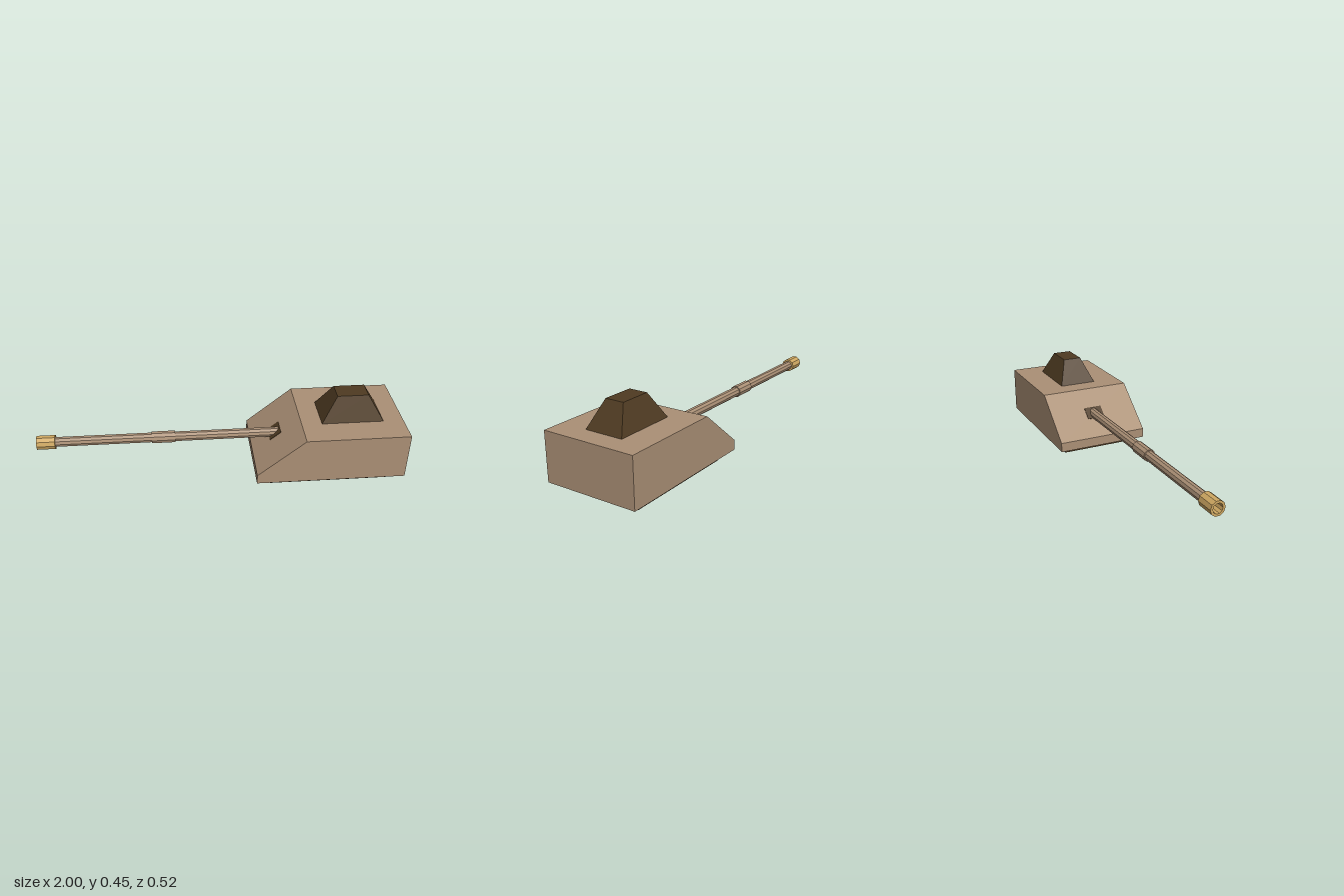
import * as THREE from 'three';

const paint = (color) => new THREE.MeshStandardMaterial({ color, flatShading: true });
const tan = paint(0xab9076);
const brown = paint(0x4f3b22);
const brass = paint(0xcfa862);

function add(parent, name, geometry, material) {
  const mesh = new THREE.Mesh(geometry, material);
  mesh.name = name;
  parent.add(mesh);
  return mesh;
}

// Box from y0 to y1 whose lower and upper rectangles [x0, x1, halfDepth] differ
function frustum(y0, y1, lower, upper) {
  const g = new THREE.BoxGeometry(1, 1, 1);
  const p = g.attributes.position;
  for (let i = 0; i < p.count; i++) {
    const top = p.getY(i) > 0;
    const [x0, x1, d] = top ? upper : lower;
    p.setXYZ(i, p.getX(i) < 0 ? x0 : x1, top ? y1 : y0, p.getZ(i) < 0 ? -d : d);
  }
  g.computeVertexNormals();
  return g;
}

// Closed lathe ring along x from x0 to x1, with a bore
function tube(x0, x1, outer, inner, sides = 10) {
  const profile = [[inner, x0], [outer, x0], [outer, x1], [inner, x1], [inner, x0]]
    .map(([r, x]) => new THREE.Vector2(r, x));
  // Turning the lathe axis onto +x keeps the winding
  return new THREE.LatheGeometry(profile, sides).rotateZ(-Math.PI / 2);
}

export function createModel() {
  const model = new THREE.Group();
  model.name = 'turret';
  const halfDepth = 0.262;

  // Wedge-fronted body, extruded across its depth
  const side = new THREE.Shape([
    [0.185, 0.045], [1, 0.045], [1, 0.309], [0.44, 0.309], [0.185, 0.098],
  ].map(([x, y]) => new THREE.Vector2(x, y)));
  add(model, 'body', new THREE.ExtrudeGeometry(side, { depth: halfDepth * 2, bevelEnabled: false })
    .translate(0, 0, -halfDepth), tan);

  // Shallow sloped underside and mounting base
  add(model, 'underside', frustum(0.039, 0.0455, [0.265, 0.915, 0.21], [0.186, 0.999, 0.261]), brown);
  add(model, 'base', frustum(0, 0.04, [0.265, 0.915, 0.21], [0.265, 0.915, 0.21]), brown);

  // Tapered hatch on the roof
  add(model, 'hatch', frustum(0.308, 0.447, [0.55, 0.89, 0.108], [0.635, 0.805, 0.053]), brown);

  // Dark gun port lying on the sloped front
  const port = add(model, 'gunPort', new THREE.BoxGeometry(0.076, 0.006, 0.104), brown);
  port.position.set(0.31, 0.2015, 0);
  port.rotation.z = Math.atan2(0.211, 0.255);

  // Gun, built around its own axis
  const gun = new THREE.Group();
  gun.name = 'gun';
  gun.position.y = 0.196;
  model.add(gun);
  add(gun, 'barrel', new THREE.CylinderGeometry(0.028, 0.028, 1.37, 10)
    .rotateZ(-Math.PI / 2).translate(-0.245, 0, 0), tan);
  add(gun, 'barrelSleeve', tube(-0.373, -0.245, 0.034, 0.026), tan);
  add(gun, 'muzzle', tube(-1, -0.9, 0.04, 0.027), brass);

  return model;
}
